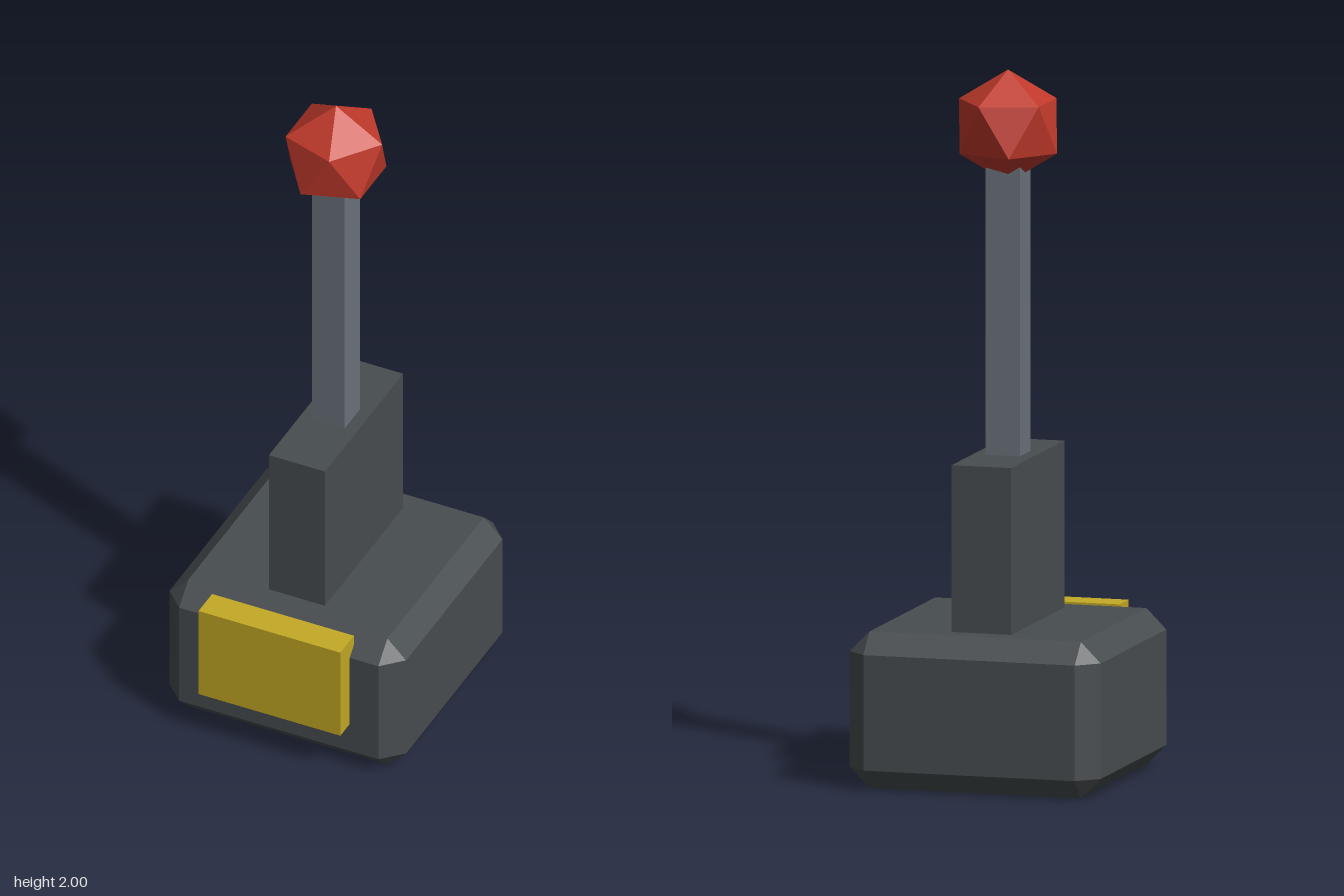
import * as THREE from 'three';
import { ConvexGeometry } from 'three/addons/geometries/ConvexGeometry.js';

function material(name, color) {
  const m = new THREE.MeshStandardMaterial({ color, flatShading: true });
  m.name = name;
  return m;
}

// Box with every edge cut at 45 degrees
function chamferedBox(w, h, d, c) {
  const points = [];
  for (const sx of [-1, 1]) for (const sy of [-1, 1]) for (const sz of [-1, 1]) {
    const x = w / 2, y = h / 2, z = d / 2;
    points.push(
      new THREE.Vector3(sx * x, sy * (y - c), sz * (z - c)),
      new THREE.Vector3(sx * (x - c), sy * y, sz * (z - c)),
      new THREE.Vector3(sx * (x - c), sy * (y - c), sz * z)
    );
  }
  return new ConvexGeometry(points);
}

export function createModel() {
  const group = new THREE.Group();
  const darkGrey = material('dark grey', 0x484d50);
  const steel = material('steel grey', 0x6b727b);
  const yellow = material('yellow', 0xc4a925);
  const red = material('red', 0xc0392b);

  function add(name, geometry, mat, x, y, z) {
    const mesh = new THREE.Mesh(geometry, mat);
    mesh.name = name;
    mesh.position.set(x, y, z);
    group.add(mesh);
  }

  // Base, with the plate set into its front
  add('base', chamferedBox(0.734, 0.443, 0.734, 0.058), darkGrey, 0, 0.2215, -0.03);
  add('frontPlate', new THREE.BoxGeometry(0.44, 0.292, 0.087), yellow, 0, 0.298, 0.353);

  // Upright block and lever
  add('leverMount', new THREE.BoxGeometry(0.174, 0.485, 0.5), darkGrey, 0, 0.6725, -0.03);
  add('leverRod', new THREE.BoxGeometry(0.1, 0.87, 0.1), steel, 0, 1.345, -0.03);

  // Faceted knob, standing on a vertex
  const knob = new THREE.IcosahedronGeometry(0.16, 0);
  knob.rotateZ(-Math.atan(2 / (1 + Math.sqrt(5))));
  add('knob', knob, red, 0, 1.84, -0.03);

  return group;
}
